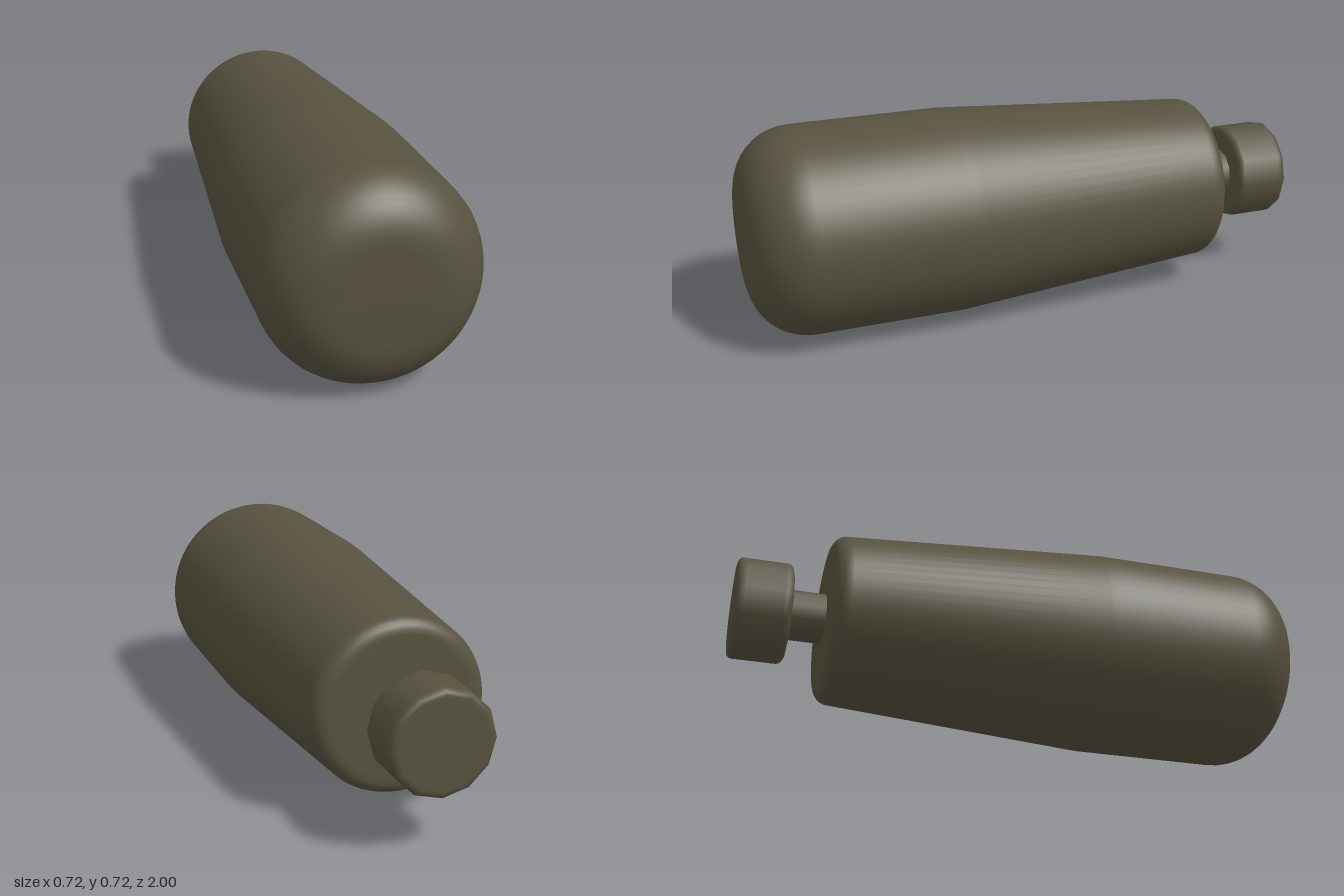
import * as THREE from 'three';

const AXIS_Y = 0.36;
const material = new THREE.MeshStandardMaterial({ color: 0x57523f });

// Points of a rounded corner: centre (r, z), radius, from angle a to b in degrees
function corner(r, z, radius, a, b, steps) {
  const points = [];
  for (let i = 0; i <= steps; i++) {
    const t = THREE.MathUtils.degToRad(a + ((b - a) * i) / steps);
    points.push([r + radius * Math.cos(t), z + radius * Math.sin(t)]);
  }
  return points;
}

// Revolve a [radius, z] profile, listed back to front, about the long axis
function turned(name, profile, sides) {
  const points = profile.map(([r, z]) => new THREE.Vector2(r, z));
  const geometry = new THREE.LatheGeometry(points, sides);
  geometry.rotateX(Math.PI / 2);
  const mesh = new THREE.Mesh(geometry, material);
  mesh.name = name;
  mesh.position.y = AXIS_Y;
  return mesh;
}

export function createModel() {
  const group = new THREE.Group();
  group.name = 'roundedCanister';

  // Body: flat back, tapered rear half, straight front half, large front rounding
  group.add(turned('body', [
    [0, -0.69],
    [0.23, -0.69],
    ...corner(0.245, -0.64, 0.05, -90, 4, 6),
    [0.358, 0.25],
    [0.36, 0.29],
    ...corner(0.16, 0.8, 0.2, 0, 90, 10),
    [0.14, 1],
    [0, 1],
  ], 64));

  // Neck between body and knob
  group.add(turned('neck', [[0.087, -0.83], [0.087, -0.67]], 12));

  // Knob with slightly rounded rims
  group.add(turned('knob', [
    [0, -1],
    [0.145, -1],
    ...corner(0.154, -0.98, 0.02, -90, 0, 3),
    [0.174, -0.97],
    [0.174, -0.84],
    ...corner(0.154, -0.83, 0.02, 0, 90, 3),
    [0.145, -0.81],
    [0, -0.81],
  ], 12));

  return group;
}
